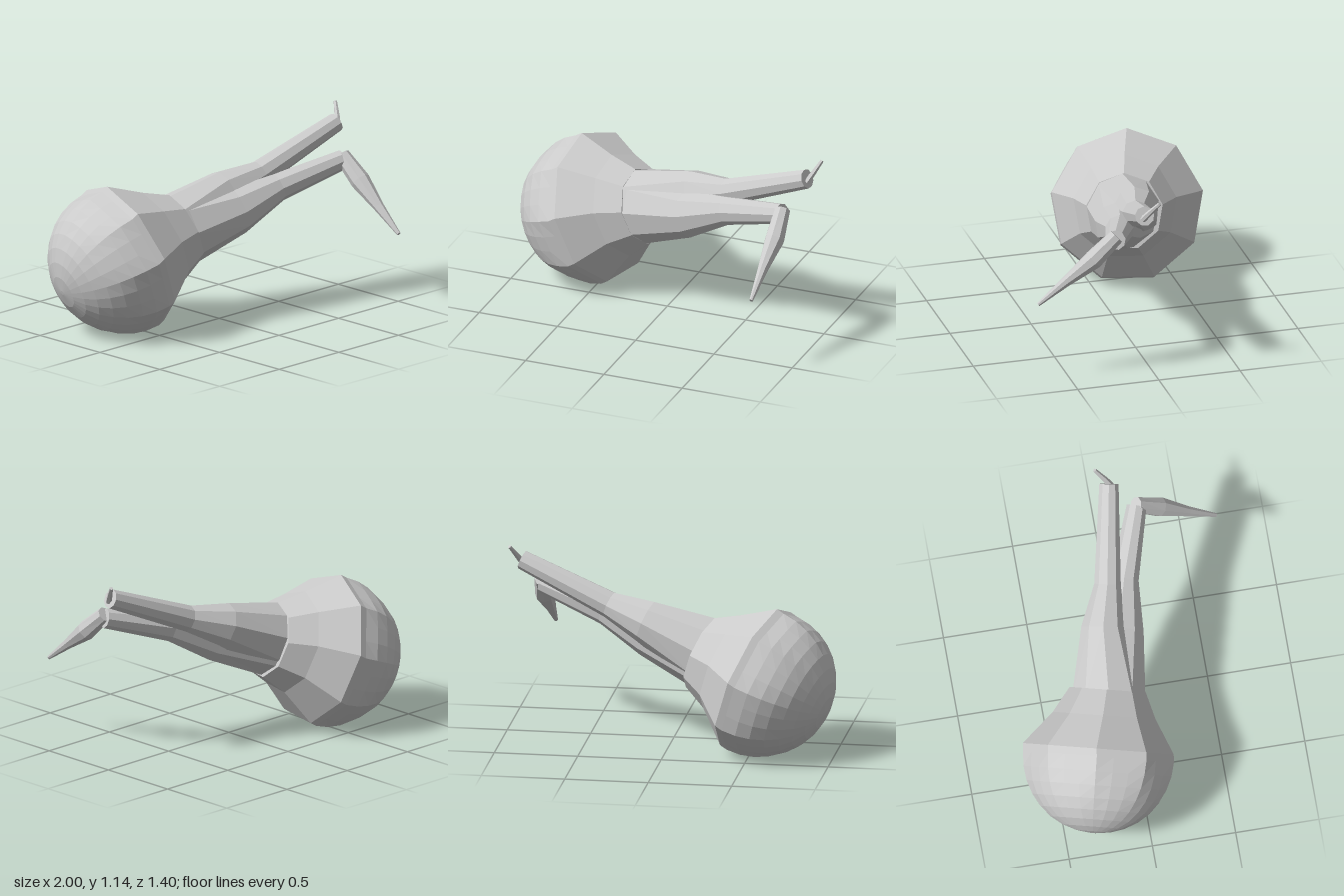
import * as THREE from 'three';

const V = (x, y, z) => new THREE.Vector3(x, y, z);
const material = new THREE.MeshStandardMaterial({ color: 0xcccccc, flatShading: true });

// Skin a row of sections {c, r, round} with flat end caps.
// 'round' blends a polygon with 'sides' corners (0) into a circle (1).
function loft(name, sections, { sides = 9, split = 1, axis = null } = {}) {
  const n = sides * split, pos = [], index = [];
  const last = sections.length - 1;
  const step = (Math.PI * 2) / sides;
  sections.forEach((s, i) => {
    const dir = axis ? axis.clone()
      : sections[Math.min(i + 1, last)].c.clone().sub(sections[Math.max(i - 1, 0)].c).normalize();
    const u = V(0, 1, 0).addScaledVector(dir, -dir.y).normalize();
    const v = dir.clone().cross(u);
    for (let j = 0; j < n; j++) {
      const a = (j / n) * Math.PI * 2;
      const flat = Math.cos(step / 2) / Math.cos((a % step) - step / 2);
      const r = s.r * (j % split === 0 ? 1 : THREE.MathUtils.lerp(flat, 1, s.round ?? 0));
      const p = s.c.clone().addScaledVector(u, r * Math.cos(a)).addScaledVector(v, r * Math.sin(a));
      pos.push(p.x, p.y, p.z);
    }
  });
  const start = pos.length / 3, end = start + 1;
  pos.push(...sections[0].c.toArray(), ...sections[last].c.toArray());
  for (let j = 0; j < n; j++) {
    const k = (j + 1) % n;
    for (let i = 0; i < last; i++) {
      const a = i * n + j, b = i * n + k;
      index.push(a, b, b + n, a, b + n, a + n);
    }
    index.push(start, k, j, end, last * n + j, last * n + k);
  }
  const geo = new THREE.BufferGeometry();
  geo.setAttribute('position', new THREE.Float32BufferAttribute(pos, 3));
  geo.setIndex(index);
  geo.computeVertexNormals();
  const mesh = new THREE.Mesh(geo, material);
  mesh.name = name;
  return mesh;
}

const path = (rows) => rows.map(([x, y, z, r]) => ({ c: V(x, y, z), r }));

export function createModel() {
  const group = new THREE.Group();
  group.name = 'twoNeckedBulb';

  // Bulb: rounded dome at the back, faceted shoulder towards the necks
  const axis = V(0.91, 0.34, 0.23).normalize();
  const centre = V(-0.55, 0.457, -0.245), R = 0.455;
  const bulb = [];
  for (let i = 8; i >= 0; i--) {
    const t = (i / 8) * Math.PI * 0.49;
    bulb.push({
      c: centre.clone().addScaledVector(axis, -R * Math.sin(t)),
      r: R * Math.cos(t),
      round: Math.min(1, Math.sin(t) * 1.3),
    });
  }
  bulb.push(...path([
    [-0.51, 0.482, -0.24, 0.455],
    [-0.335, 0.55, -0.175, 0.31],
    [-0.19, 0.585, -0.13, 0.23],
  ]));
  group.add(loft('bulb', bulb, { split: 3, axis }));

  // Two necks that start together and part towards their ends
  group.add(loft('upperNeck', path([
    [-0.22, 0.59, -0.135, 0.218],
    [0.15, 0.75, -0.1, 0.132],
    [0.38, 0.825, -0.035, 0.08],
    [0.92, 1.05, 0.065, 0.058],
  ])));
  group.add(loft('lowerNeck', path([
    [-0.22, 0.57, -0.125, 0.22],
    [0.15, 0.655, 0.0, 0.145],
    [0.42, 0.755, 0.075, 0.085],
    [0.82, 0.87, 0.215, 0.06],
  ])));

  // Long tapering spike bent down from the lower neck
  group.add(loft('spike', path([
    [0.82, 0.895, 0.21, 0.048],
    [0.83, 0.765, 0.355, 0.06],
    [0.82, 0.64, 0.52, 0.032],
    [0.815, 0.51, 0.69, 0.012],
  ]), { sides: 8 }));

  // Small pin on the end of the upper neck
  group.add(loft('pin', path([
    [0.92, 1.03, 0.075, 0.02],
    [0.945, 1.075, 0.045, 0.017],
    [0.985, 1.148, -0.01, 0.011],
  ]), { sides: 6 }));

  return group;
}
